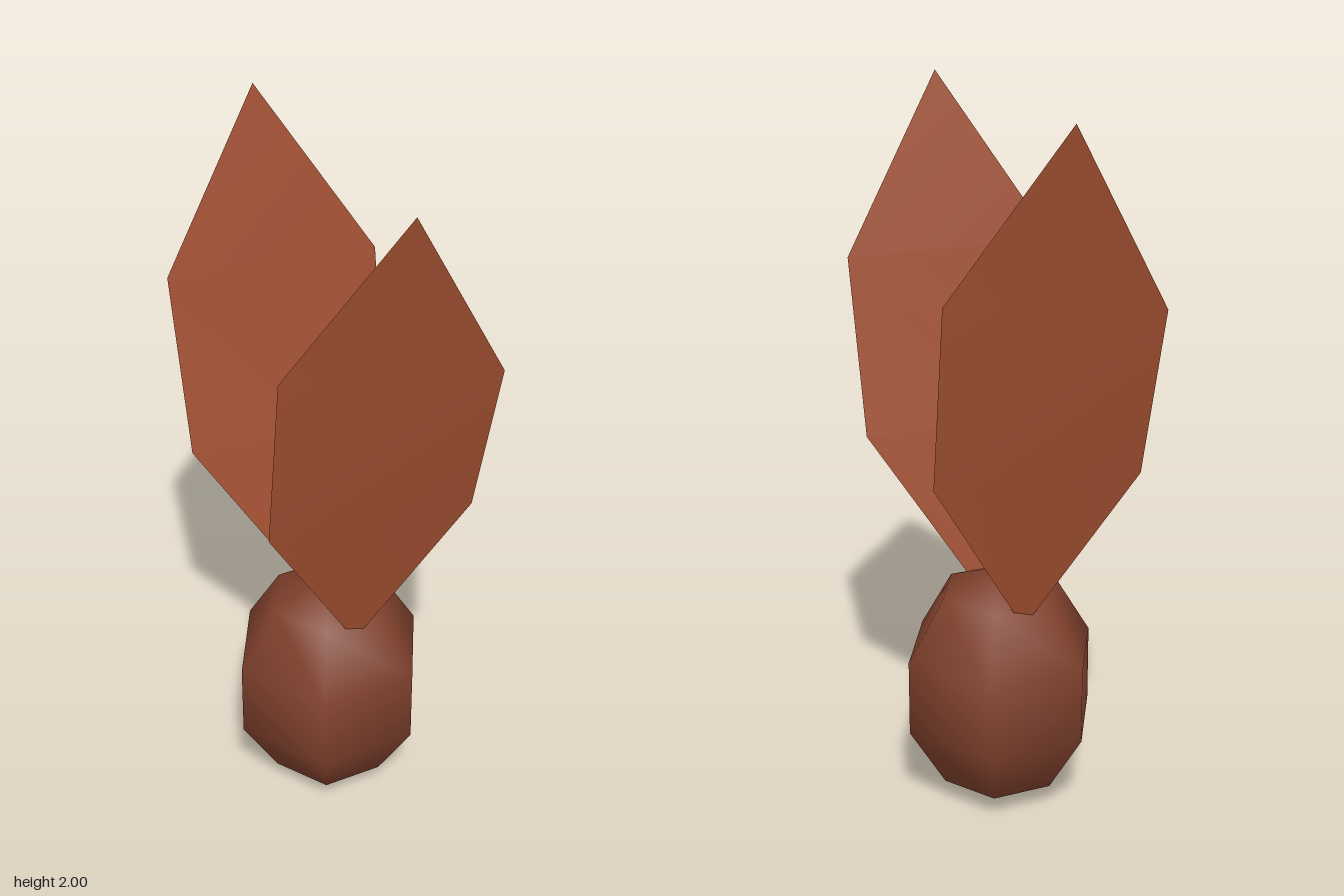
import * as THREE from 'three';

export function createModel() {
  const group = new THREE.Group();
  const seedBrown = new THREE.MeshStandardMaterial({ color: 0x7f402c });
  seedBrown.name = 'seedBrown';
  const wingBrown = new THREE.MeshStandardMaterial({ color: 0x9f4e30, side: THREE.DoubleSide });
  wingBrown.name = 'wingBrown';

  // Six-sided, smooth-shaded seed body
  const body = new THREE.SphereGeometry(1, 6, 5);
  body.scale(0.291, 0.35, 0.291);
  body.translate(0, 0.35, 0);
  const seed = new THREE.Mesh(body, seedBrown);
  seed.name = 'seed';
  group.add(seed);

  // Flat, slightly twisted wing outline, counter-clockwise from the stem
  const outline = [
    [-0.03, 0.63, 0.155], [0.025, 0.615, 0.16],
    [0.28, 1.03, 0.28], [0.275, 1.51, 0.41],
    [0, 2, 0.435],
    [-0.275, 1.54, 0.265], [-0.28, 1.04, 0.205],
  ];
  const wing = new THREE.BufferGeometry();
  wing.setAttribute('position', new THREE.Float32BufferAttribute(outline.flat(), 3));
  wing.setIndex([0, 1, 2, 0, 2, 6, 6, 2, 3, 6, 3, 5, 5, 3, 4]);
  wing.computeVertexNormals();

  // Front wing, and the same wing turned half way round
  ['frontWing', 'backWing'].forEach((name, i) => {
    const mesh = new THREE.Mesh(wing, wingBrown);
    mesh.name = name;
    mesh.rotation.y = i * Math.PI;
    group.add(mesh);
  });

  return group;
}
